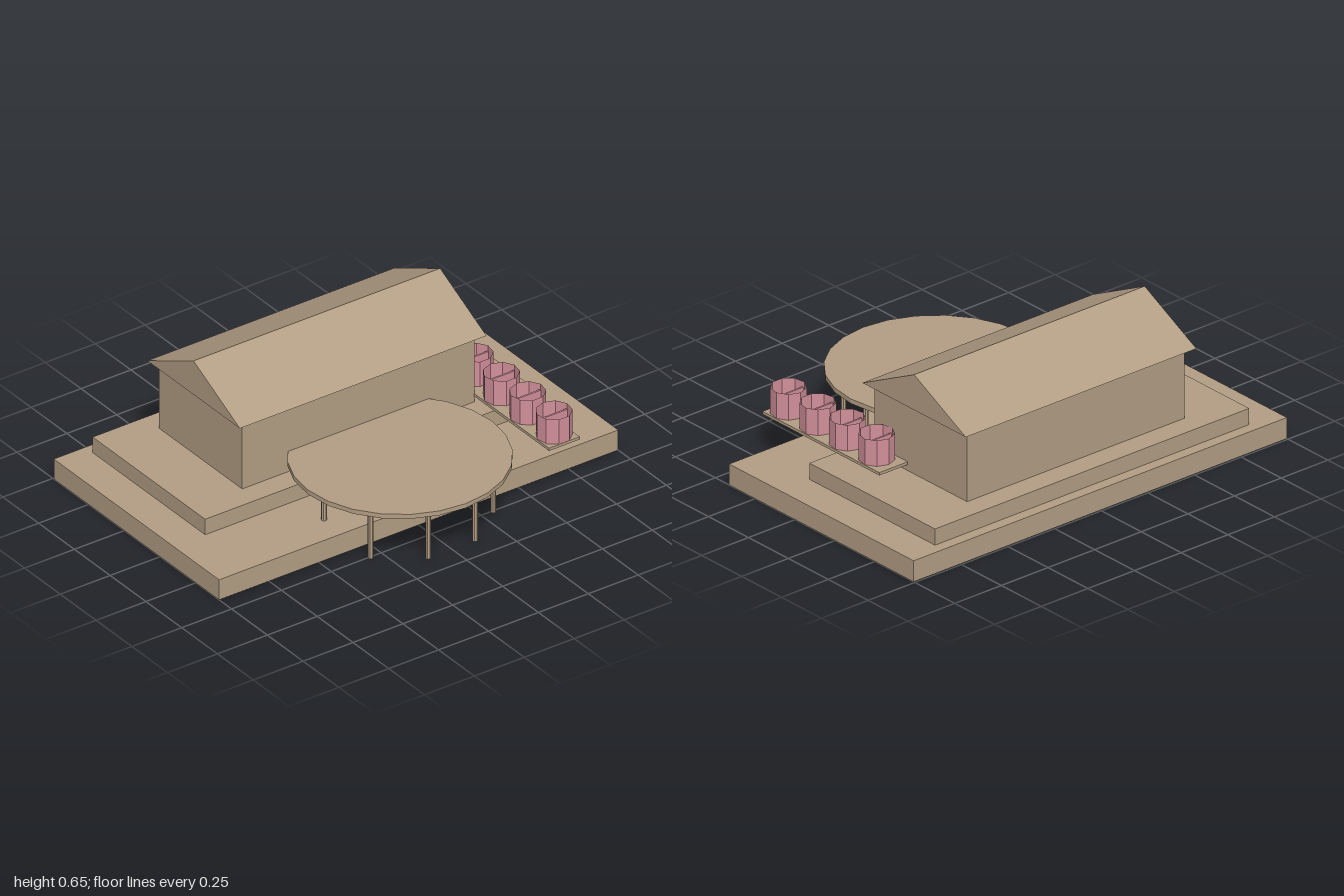
import * as THREE from 'three';

export function createModel() {
  const root = new THREE.Group();
  const tan = new THREE.MeshStandardMaterial({ color: 0xb39e84 });
  tan.name = 'tan';
  const pink = new THREE.MeshStandardMaterial({ color: 0xd2909a, side: THREE.DoubleSide, flatShading: true });
  pink.name = 'pink';
  const facetTan = tan.clone();
  facetTan.flatShading = true;

  function add(name, geo, mat, x = 0, y = 0, z = 0, parent = root) {
    const m = new THREE.Mesh(geo, mat);
    m.name = name;
    m.position.set(x, y, z);
    parent.add(m);
    return m;
  }
  // box given by its limits on each axis
  function block(name, x0, x1, y0, y1, z0, z1, mat = tan, parent = root) {
    return add(name, new THREE.BoxGeometry(x1 - x0, y1 - y0, z1 - z0), mat,
      (x0 + x1) / 2, (y0 + y1) / 2, (z0 + z1) / 2, parent);
  }

  // stepped foundation and house walls
  block('lowerPlinth', -1, 1, 0, 0.096, -0.743, 0.413);
  block('upperPlinth', -0.842, 0.842, 0.096, 0.17, -0.692, 0.095);
  block('houseWalls', -0.582, 0.582, 0.17, 0.49, -0.589, -0.009);

  // solid gable roof, ridge along x
  const gable = new THREE.Shape([
    new THREE.Vector2(-0.324, 0), new THREE.Vector2(0.324, 0), new THREE.Vector2(0, 0.161),
  ]);
  const roofGeo = new THREE.ExtrudeGeometry(gable, { depth: 1.236, bevelEnabled: false });
  roofGeo.translate(0, 0, -0.618).rotateY(Math.PI / 2);
  add('gableRoof', roofGeo, tan, 0, 0.489, -0.299);

  // round terrace on a ring of thin posts
  const terrace = new THREE.Group();
  terrace.name = 'roundTerrace';
  terrace.position.z = 0.282;
  root.add(terrace);
  add('terraceDeck', new THREE.CylinderGeometry(0.461, 0.461, 0.021, 24), facetTan, 0, 0.2565, 0, terrace);
  const postGeo = new THREE.CylinderGeometry(0.012, 0.012, 0.247, 8);
  for (let i = 0; i < 10; i++) {
    const a = (i + 0.5) * Math.PI / 5;
    add('terracePost', postGeo, facetTan, 0.38 * Math.sin(a), 0.1235, 0.38 * Math.cos(a), terrace);
  }

  // side shelf with four open tubs, each with a thin cross panel
  block('sideShelf', 0.58, 0.734, 0.197, 0.21, -0.217, 0.515);
  const tubGeo = new THREE.CylinderGeometry(0.076, 0.076, 0.118, 9, 1, true);
  tubGeo.rotateY(Math.PI);
  for (let i = 0; i < 4; i++) {
    const tub = new THREE.Group();
    tub.name = 'tub';
    tub.position.set(0.657, 0.21, 0.442 - i * 0.184);
    root.add(tub);
    add('tubWall', tubGeo, pink, 0, 0.059, 0, tub);
    block('tubPanel', -0.07, 0.07, 0, 0.095, -0.012, -0.004, pink, tub);
  }
  // one shared tan material with flat facets for all tan parts
  root.traverse((o) => { if (o.isMesh && o.material === tan) o.material = facetTan; });
  return root;
}
